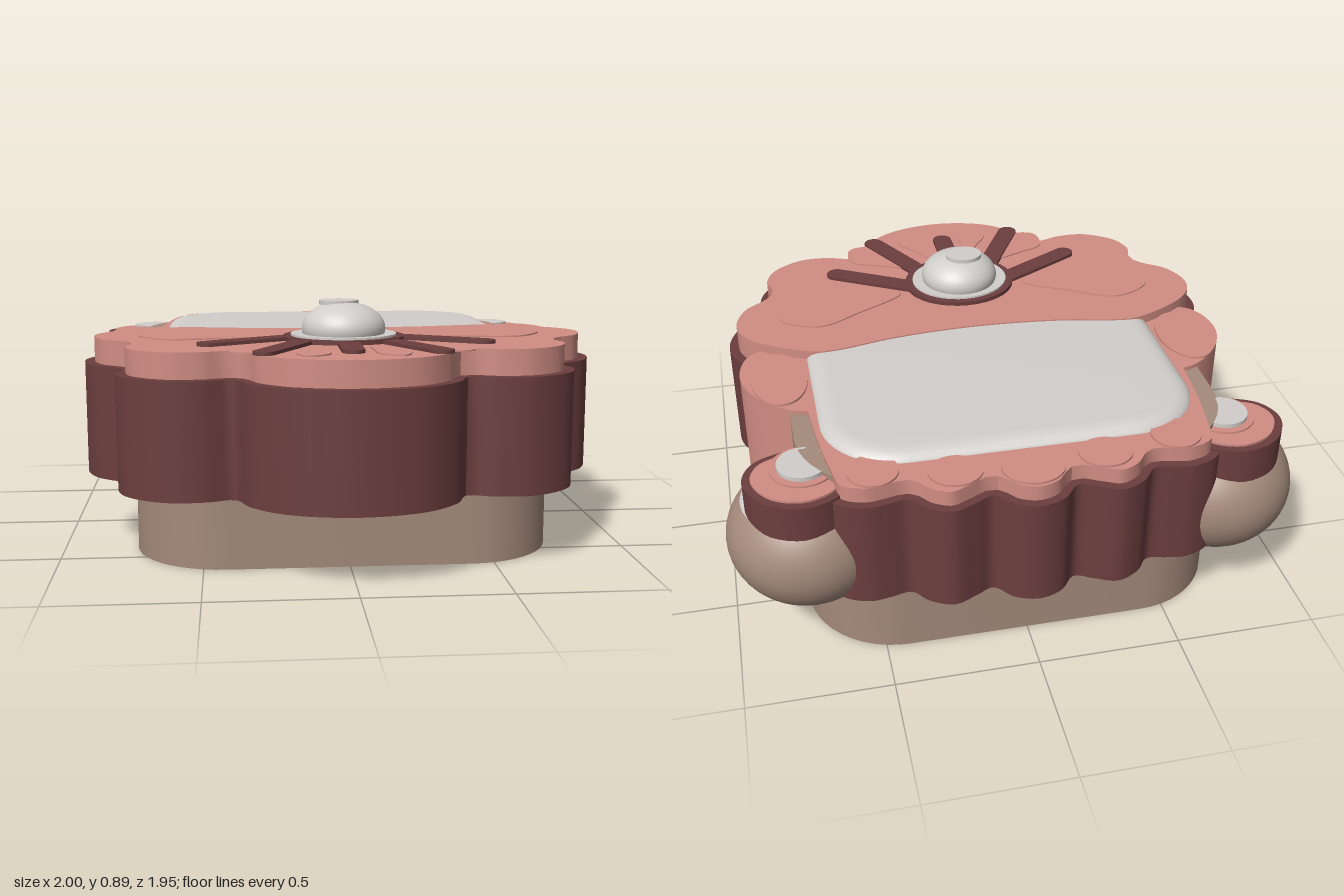
import * as THREE from 'three';
import { toCreasedNormals } from 'three/addons/utils/BufferGeometryUtils.js';

const mat = (name, color, side = THREE.FrontSide) => {
  const m = new THREE.MeshStandardMaterial({ color, side });
  m.name = name;
  return m;
};
const V = (x, z) => new THREE.Vector2(x, z);

// Smooth closed outline through plan points [x, z]
function outline(pts, n = 140) {
  const c = new THREE.CatmullRomCurve3(pts.map(p => new THREE.Vector3(p[0], p[1], 0)), true, 'centripetal');
  return c.getSpacedPoints(n).slice(0, n).map(p => V(p.x, p.y));
}
// Completes a half outline that starts and ends on x = 0
const mirrored = half => [...half, ...half.slice(1, -1).reverse().map(([x, z]) => [-x, z])];

// Moves an outline inward by d
function inset(pts, d) {
  const s = THREE.ShapeUtils.area(pts) > 0 ? 1 : -1;
  return pts.map((p, i) => {
    const a = pts[(i + pts.length - 1) % pts.length], b = pts[(i + 1) % pts.length];
    const t = b.clone().sub(a).normalize();
    return V(p.x - t.y * d * s, p.y + t.x * d * s);
  });
}
function roundedRect(x, z0, z1, r) {
  const pts = [];
  [[x - r, z1 - r], [r - x, z1 - r], [r - x, z0 + r], [x - r, z0 + r]].forEach(([cx, cz], k) => {
    for (let i = 0; i <= 12; i++) {
      const a = (k + i / 12) * Math.PI / 2;
      pts.push(V(cx + r * Math.cos(a), cz + r * Math.sin(a)));
    }
  });
  return pts;
}
const ellipse = (cx, cz, rx, rz) => new THREE.EllipseCurve(cx, cz, rx, rz).getPoints(40).slice(0, 40);

export function createModel() {
  const group = new THREE.Group();
  const pink = mat('pink', 0xd08d83), dark = mat('maroon', 0x6c3e3e);
  const grey = mat('light grey', 0xd2cecb), brown = mat('taupe', 0xa48a7b);

  const add = (name, geo, material, x = 0, y = 0, z = 0) => {
    const m = new THREE.Mesh(geo, material);
    m.name = name;
    m.position.set(x, y, z);
    group.add(m);
    return m;
  };
  // Upright slab over a plan outline
  const slab = (name, pts, y0, y1, material) => {
    const g = new THREE.ExtrudeGeometry(new THREE.Shape(pts), { depth: y1 - y0, bevelEnabled: false });
    g.rotateX(Math.PI / 2).translate(0, y1, 0);
    return add(name, toCreasedNormals(g, 0.6), material);
  };

  // Body
  slab('body', roundedRect(0.74, -0.82, 0.67, 0.32), 0, 0.7, brown);

  // Front scalloped block with its inset top plate
  const front = outline(mirrored([
    [0, 0.975], [0.22, 0.925], [0.34, 0.82], [0.39, 0.72], [0.49, 0.745], [0.62, 0.74], [0.75, 0.65],
    [0.79, 0.54], [0.775, 0.45], [0.88, 0.35], [0.925, 0.23], [0.91, 0.13], [0.83, 0.035],
    [0.62, -0.07], [0.53, -0.07], [0.3, -0.025], [0, -0.005]]), 200);
  slab('frontBlock', front, 0.255, 0.66, dark);
  slab('frontPlate', inset(front, 0.035), 0.66, 0.75, pink);

  // Rear scalloped wall and the frame plate on it
  const bumps = [[0, -0.975], [0.08, -0.95], [0.14, -0.89], [0.2, -0.915], [0.28, -0.945], [0.36, -0.91],
    [0.41, -0.855], [0.48, -0.865], [0.55, -0.872], [0.64, -0.83]];
  const rear = outline(mirrored([...bumps, [0.67, -0.74], [0.6, -0.68], [0, -0.68]]), 200);
  slab('rearWall', rear, 0.27, 0.66, dark);
  const frame = outline(mirrored([...bumps, [0.67, -0.72], [0.71, -0.35], [0.7, 0.05], [0.6, 0.1], [0, 0.1]]), 200);
  slab('framePlate', inset(frame, 0.03), 0.66, 0.715, pink);
  for (const [x, z, rx, rz] of [[0, -0.84, 0.105, 0.095], [0.25, -0.815, 0.09, 0.08], [0.51, -0.76, 0.085, 0.085]])
    for (const s of x ? [1, -1] : [1])
      slab('rearBead', ellipse(s * x, z, rx, rz), 0.715, 0.723, pink);

  // Soft grey pad
  const padGeo = new THREE.ExtrudeGeometry(new THREE.Shape(roundedRect(0.585, -0.67, 0.2, 0.2)),
    { depth: 0.05, bevelSize: 0.07, bevelThickness: 0.045, bevelSegments: 6 });
  padGeo.rotateX(Math.PI / 2).translate(0, 0.7, 0);
  add('pad', toCreasedNormals(padGeo, 0.7), grey);

  // Side parts
  for (const s of [1, -1]) {
    const flip = pts => pts.map(([x, z]) => [s * x, z]);
    slab('sideWing', outline(flip([[0.6, -0.36], [0.71, -0.36], [0.83, -0.27], [0.895, -0.13],
      [0.88, 0], [0.83, 0.06], [0.6, 0.06]])), 0.27, 0.715, pink);
    slab('wingPetal', ellipse(s * 0.76, -0.15, 0.1, 0.17), 0.715, 0.723, pink);

    // Ball: taupe bowl with a grey cap
    const split = Math.acos(0.15 / 0.24);
    for (const [name, from, len, m] of [['ballBowl', split, Math.PI - split, brown], ['ballCap', 0, split, grey]]) {
      const g = new THREE.SphereGeometry(1, 48, 24, 0, Math.PI * 2, from, len);
      add(name, g, m, s * 0.725, 0.405, -0.62).scale.set(0.275, 0.24, 0.275);
    }

    // Ear on the ball
    const ear = outline(flip([[0.6, -0.78], [0.73, -0.845], [0.86, -0.8], [0.925, -0.68], [0.89, -0.58],
      [0.78, -0.525], [0.65, -0.5], [0.59, -0.6]]), 80);
    slab('ear', ear, 0.53, 0.67, dark);
    slab('earPlate', inset(ear, 0.028), 0.67, 0.678, pink);
    slab('earRing', ellipse(s * 0.725, -0.64, 0.11, 0.11), 0.678, 0.685, pink);
    slab('earButton', ellipse(s * 0.725, -0.64, 0.085, 0.085), 0.685, 0.7, grey);
  }

  // Petals and spokes fanning out from the gem
  const cz = 0.385;
  for (const [deg, r0, r1, w] of [[18, 0.24, 0.5, 0.055], [47, 0.24, 0.54, 0.085], [102, 0.25, 0.75, 0.12]])
    for (const s of [1, -1]) {
      const a = s * deg * Math.PI / 180, L = r1 - r0;
      const pts = [[r0, 0], [r0 + L * 0.4, w * 0.65], [r0 + L * 0.75, w], [r1, 0],
        [r0 + L * 0.75, -w], [r0 + L * 0.4, -w * 0.65]];
      slab('petal', outline(pts.map(([r, t]) => [r * Math.sin(a) + t * Math.cos(a),
        cz + r * Math.cos(a) - t * Math.sin(a)]), 48), 0.75, 0.755, pink);
    }
  for (const [x0, z0, x1, z1] of [[0, 0.52, 0, 0.76], [0.13, 0.48, 0.29, 0.785], [0.16, 0.36, 0.475, 0.54]])
    for (const s of x1 ? [1, -1] : [1]) {
      const a = Math.atan2(z1 - z0, s * (x1 - x0)), pts = [];
      for (let i = 0; i <= 20; i++) {
        const end = i > 10, t = a + Math.PI / 2 + (i - (end ? 1 : 0)) / 19 * Math.PI * 2;
        pts.push(V(s * (end ? x1 : x0) + 0.038 * Math.cos(t), (end ? z1 : z0) + 0.038 * Math.sin(t)));
      }
      slab('spoke', pts, 0.75, 0.762, dark);
    }

  // Gem in its setting
  slab('gemRing', ellipse(0, cz, 0.215, 0.195), 0.75, 0.765, dark);
  slab('gemDisc', ellipse(0, cz, 0.187, 0.17), 0.765, 0.772, grey);
  add('gem', new THREE.SphereGeometry(1, 40, 24), grey, 0, 0.79, cz).scale.set(0.148, 0.093, 0.148);
  slab('gemTop', ellipse(-0.015, 0.365, 0.07, 0.06), 0.872, 0.887, grey);

  return group;
}
